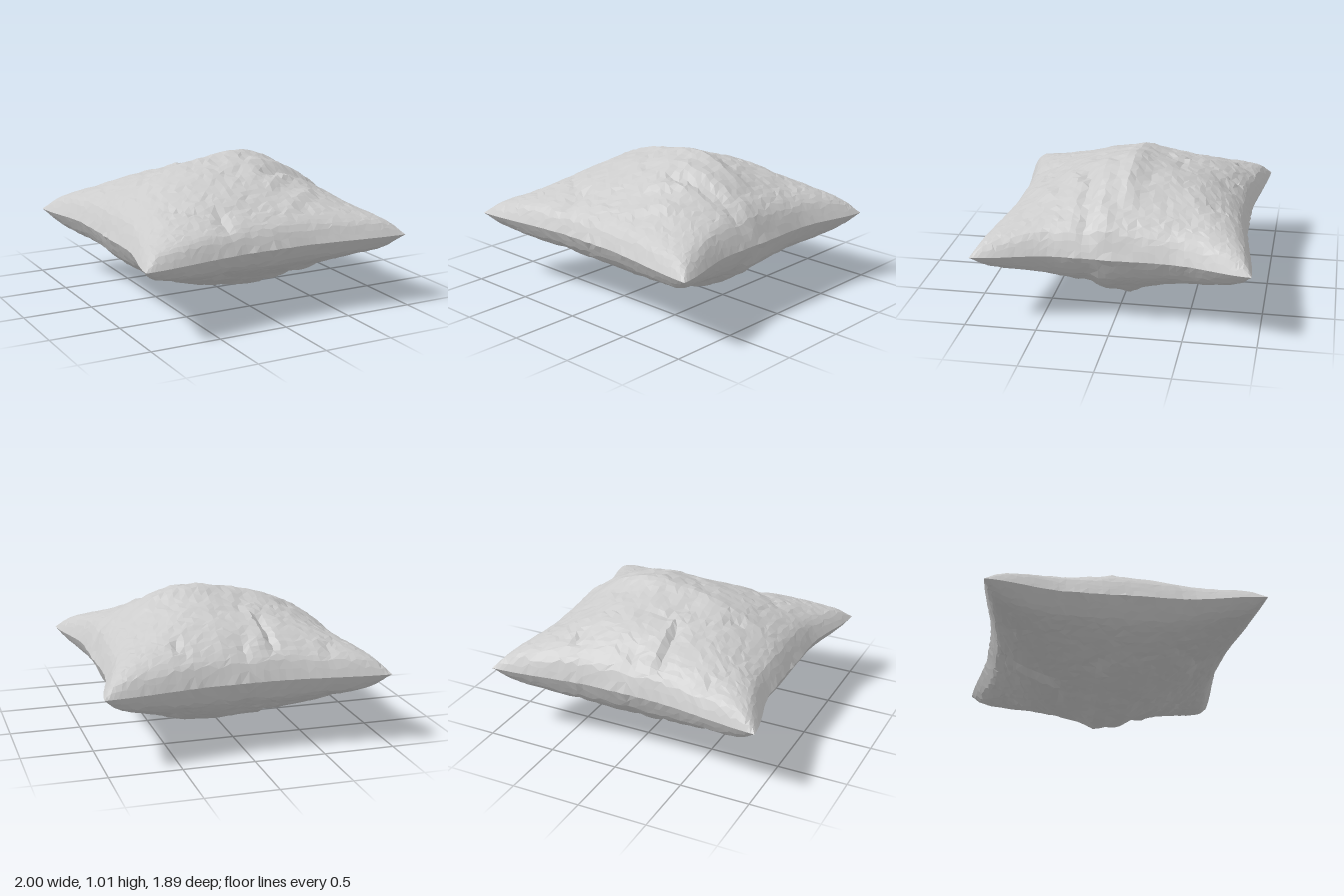
import * as THREE from 'three';

const MID = 0.51, HALF = 0.505, N = 46;
const { clamp, smoothstep } = THREE.MathUtils;

// Puffiness across the width and the depth: [position -1..1, fraction of full height]
const acrossX = [[-1, 0], [-0.9, 0.31], [-0.67, 0.6], [-0.45, 0.79], [-0.22, 0.91], [0, 0.97],
  [0.14, 1], [0.25, 0.98], [0.45, 0.87], [0.67, 0.65], [0.9, 0.34], [1, 0]];
const acrossZ = [[-1, 0], [-0.93, 0.28], [-0.7, 0.59], [-0.47, 0.75], [-0.23, 0.88], [-0.06, 1],
  [0.04, 0.97], [0.23, 0.88], [0.47, 0.69], [0.7, 0.47], [0.92, 0.25], [1, 0]];

// Cloth folds: x1, z1, x2, z2, width, height
const folds = [
  [0.3, 0.14, 0.8, 0.06, 0.06, 0.025], [0.25, 0.27, 0.82, 0.18, 0.04, -0.025],
  [0.1, -0.04, 0.6, -0.07, 0.05, 0.012], [-0.2, -0.72, -0.2, -0.42, 0.03, -0.035],
  [-0.13, -0.72, -0.15, -0.42, 0.04, 0.015], [-0.58, 0.42, -0.42, 0.58, 0.04, -0.02],
  [-0.3, 0.6, -0.32, 0.75, 0.04, -0.03], [-0.55, -0.12, -0.48, -0.16, 0.04, -0.03],
  [0.25, 0.62, 0.45, 0.52, 0.05, 0.02], [0.2, 0.42, 0.42, 0.28, 0.04, 0.015],
  [-0.2, 0.05, 0.0, 0.25, 0.04, -0.012], [0.2, 0.05, 0.05, 0.25, 0.04, -0.012],
  [0.42, -0.75, 0.45, -0.62, 0.03, -0.025], [0.36, -0.2, 0.44, -0.1, 0.03, -0.015],
  [0, -0.8, 0, -0.7, 0.03, -0.02], [-0.58, -0.82, -0.6, -0.74, 0.03, -0.02],
  [-0.2, -0.15, -0.1, -0.3, 0.04, -0.012], [-0.1, -0.36, 0.1, -0.38, 0.03, -0.012],
];

// Smooth curve through a table
function sample(table, t) {
  const last = table.length - 1;
  let i = 1;
  while (i < last && t > table[i][0]) i++;
  const slope = (k) => {
    const p = table[Math.max(0, k - 1)], q = table[Math.min(last, k + 1)];
    return (q[1] - p[1]) / (q[0] - p[0]);
  };
  const [a, fa] = table[i - 1], [b, fb] = table[i];
  const w = b - a, s = (t - a) / w, r = 1 - s;
  return fa * r * r * (1 + 2 * s) + fb * s * s * (3 - 2 * s)
    + w * s * r * (slope(i - 1) * r - slope(i) * s);
}

// Repeatable scatter in -1..1
function scatter(i, j, k) {
  const s = Math.sin(i * 127.1 + j * 311.7 + k * 74.7) * 43758.5453;
  return 2 * (s - Math.floor(s)) - 1;
}

// Broad unevenness of the filling, blended between scattered values
function lumps(x, z) {
  const a = (x + 2) * 6, b = (z + 2) * 6, i = Math.floor(a), j = Math.floor(b);
  const s = a - i, t = b - j;
  return (scatter(i, j, 5) * (1 - s) + scatter(i + 1, j, 5) * s) * (1 - t)
    + (scatter(i, j + 1, 5) * (1 - s) + scatter(i + 1, j + 1, 5) * s) * t;
}

function foldHeight(x, z) {
  let sum = 0;
  for (const [x1, z1, x2, z2, w, h] of folds) {
    const dx = x2 - x1, dz = z2 - z1;
    const t = clamp(((x - x1) * dx + (z - z1) * dz) / (dx * dx + dz * dz), 0, 1);
    const d = Math.hypot(x - x1 - t * dx, z - z1 - t * dz) / w;
    sum += h * Math.exp(-d * d);
  }
  return sum;
}

// Point on the upper cloth; edges bow inward between four blunt corners
function clothPoint(i, j) {
  const inside = i > 0 && i < N && j > 0 && j < N;
  const spread = (k) => { const t = 2 * k / N - 1; return 0.6 * t + 0.4 * Math.sin(t * Math.PI / 2); };
  const jitter = inside ? 0.45 / N : 0;
  const u = spread(i) + jitter * scatter(i, j, 1);
  const v = spread(j) + jitter * scatter(i, j, 2);
  const x = u * (0.89 + 0.11 * smoothstep(Math.abs(v), 0.4, 1.02));
  const z = v * (0.86 + 0.087 * smoothstep(Math.abs(u), 0.15, 1.05));
  if (!inside) {
    // Slightly wavy seam, fixed at the corners
    const wave = 0.006 * scatter(i, j, 4) * (1 - Math.abs(u * v));
    return [x + wave * Math.abs(u), 0, z + wave * Math.abs(v)];
  }
  const f = Math.max(0.01, sample(acrossX, u)), g = Math.max(0.01, sample(acrossZ, v));
  const puff = f * g / (f + g - f * g);
  const detail = foldHeight(x, z) + 0.009 * lumps(x, z) + 0.005 * scatter(i, j, 3);
  return [x, Math.min(HALF, puff * HALF + detail * Math.min(1, puff * 2.5)), z];
}

// side = 1 for the upper panel, -1 for its mirror image underneath
function panel(name, side, material) {
  const points = [], index = [];
  for (let j = 0; j <= N; j++) {
    for (let i = 0; i <= N; i++) {
      const [x, y, z] = clothPoint(i, j);
      points.push(x, MID + side * y, z);
    }
  }
  const tri = (a, b, c) => (side > 0 ? index.push(a, b, c) : index.push(a, c, b));
  for (let j = 0; j < N; j++) {
    for (let i = 0; i < N; i++) {
      const a = j * (N + 1) + i, b = a + 1, c = a + N + 1, d = c + 1;
      // Uneven facets inside, corner cells split along the diagonal
      const edge = i === 0 || j === 0 || i === N - 1 || j === N - 1;
      const outward = (i < N / 2) === (j < N / 2);
      if (edge ? outward : scatter(i, j, 6) > 0) { tri(a, c, d); tri(a, d, b); }
      else { tri(a, c, b); tri(b, c, d); }
    }
  }
  const geometry = new THREE.BufferGeometry();
  geometry.setAttribute('position', new THREE.Float32BufferAttribute(points, 3));
  geometry.setIndex(index);
  geometry.computeVertexNormals();
  const mesh = new THREE.Mesh(geometry, material);
  mesh.name = name;
  return mesh;
}

export function createModel() {
  const group = new THREE.Group();
  group.name = 'cushion';
  const cloth = new THREE.MeshStandardMaterial({ color: 0xcccccc, flatShading: true });
  group.add(panel('upperPanel', 1, cloth), panel('lowerPanel', -1, cloth));
  return group;
}
